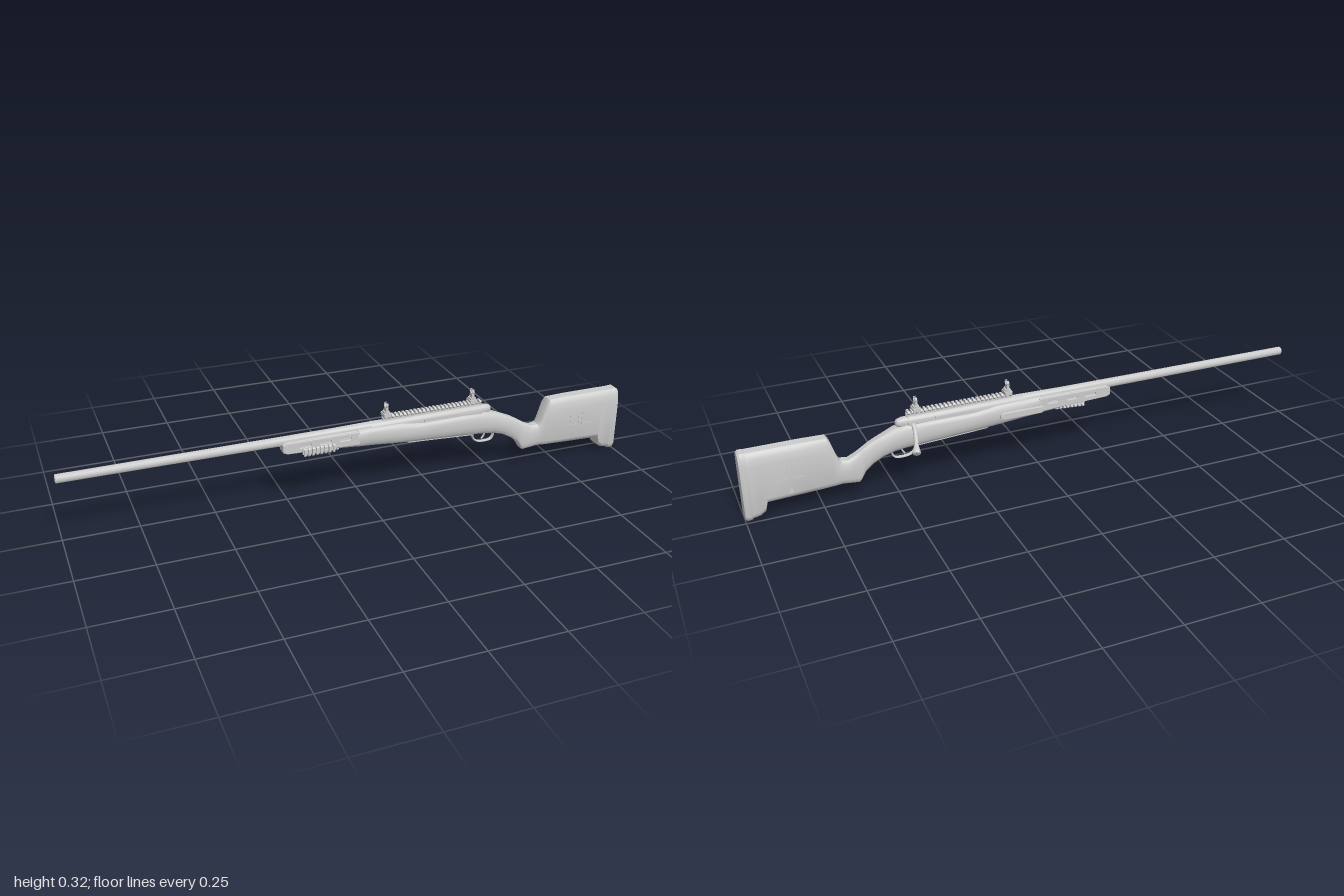
import * as THREE from 'three';
import { toCreasedNormals } from 'three/addons/utils/BufferGeometryUtils.js';

const mat = new THREE.MeshStandardMaterial({ color: 0xcccccc });
const V = (x, y, z) => new THREE.Vector3(x, y, z);

function add(parent, name, geo, x = 0, y = 0, z = 0) {
  const m = new THREE.Mesh(geo, mat);
  m.name = name;
  m.position.set(x, y, z);
  parent.add(m);
  return m;
}
const box = (w, h, d) => new THREE.BoxGeometry(w, h, d);

// Lathe whose axis runs along +x; profile pairs are [x, radius]
function turned(profile, seg = 28) {
  const g = new THREE.LatheGeometry(profile.map(([x, r]) => new THREE.Vector2(r, x)), seg);
  return toCreasedNormals(g.rotateZ(-Math.PI / 2), 0.6);
}

// Loft of chamfered sections along x: [x, bottom, top, halfWidth, topChamfer, bottomChamfer]
function loft(stations) {
  const pos = [], idx = [], n = 16;
  for (const [x, b, t, w, ct, cb] of stations) {
    const side = [[t, 0.5], [t - ct * 0.12, 0.7], [t - ct * 0.45, 0.88], [t - ct, 1],
      [b + cb, 1], [b + cb * 0.45, 0.88], [b + cb * 0.12, 0.7], [b, 0.5]];
    side.forEach(([y, k]) => pos.push(x, y, k * w));
    [...side].reverse().forEach(([y, k]) => pos.push(x, y, -k * w));
  }
  const last = (stations.length - 1) * n;
  for (let i = 0; i < last; i += n)
    for (let j = 0; j < n; j++) {
      const k = (j + 1) % n;
      idx.push(i + j, i + k, i + n + j, i + k, i + n + k, i + n + j);
    }
  for (let j = 1; j < n - 1; j++) idx.push(0, j + 1, j, last, last + j, last + j + 1);
  const g = new THREE.BufferGeometry();
  g.setAttribute('position', new THREE.Float32BufferAttribute(pos, 3));
  g.setIndex(idx);
  return toCreasedNormals(g, 0.55);
}

const polygon = (pts) => new THREE.Shape(pts.map(([x, y]) => new THREE.Vector2(x, y)));

function capsulePath(cx, cy, len, r, Type = THREE.Path) {
  const p = new Type(), h = len / 2 - r;
  p.absarc(cx + h, cy, r, -Math.PI / 2, Math.PI / 2, false);
  p.absarc(cx - h, cy, r, Math.PI / 2, Math.PI * 1.5, false);
  p.closePath();
  return p;
}

// Accessory rail along x, top facing +y, with evenly spaced cross teeth
function rail(name, length, teeth, width, height) {
  const g = new THREE.Group();
  g.name = name;
  add(g, 'railBase', box(length, height * 0.55, width * 0.55), 0, height * 0.275, 0);
  const w = width / 2, pitch = length / teeth;
  const tooth = new THREE.ExtrudeGeometry(polygon([[-w * 0.55, height * 0.35], [w * 0.55, height * 0.35],
    [w, height * 0.62], [w, height * 0.75], [w * 0.7, height], [-w * 0.7, height], [-w, height * 0.75], [-w, height * 0.62]]),
  { depth: pitch * 0.55, bevelEnabled: false }).rotateY(Math.PI / 2);
  for (let i = 0; i < teeth; i++) add(g, 'railTooth', tooth, -length / 2 + (i + 0.22) * pitch, 0, 0);
  return g;
}

// Flip-up sight standing on the top rail
function sight(name, rear) {
  const g = new THREE.Group();
  g.name = name;
  add(g, 'sightClamp', box(0.026, 0.011, 0.034), 0, 0.003, 0);
  add(g, 'sightBase', box(0.02, 0.008, 0.024), 0, 0.011, 0);
  add(g, 'sightPost', box(0.009, 0.02, 0.018), 0, 0.022, 0);
  const ring = new THREE.TorusGeometry(0.006, 0.0016, 8, 20).rotateY(Math.PI / 2);
  if (rear) add(g, 'sightAperture', ring, 0, 0.037, 0);
  else add(g, 'sightPin', new THREE.CylinderGeometry(0.001, 0.0015, 0.012, 8), 0, 0.036, 0);
  for (const s of [-1, 1]) {
    const ear = new THREE.ExtrudeGeometry(polygon([[0.005, 0.03], [0.009, 0.03], [0.0115, 0.037], [0.0085, 0.045],
      [0.006, 0.045], [0.0085, 0.038]].map(([x, y]) => [x * s, y])), { depth: 0.008, bevelEnabled: false });
    add(g, 'sightEar', ear.translate(0, 0, -0.004).rotateY(Math.PI / 2));
    const knob = new THREE.CylinderGeometry(0.005, 0.005, 0.004, 14).rotateX(Math.PI / 2);
    add(g, 'sightKnob', knob, 0, 0.013, s * 0.013);
  }
  return g;
}

export function createModel() {
  const root = new THREE.Group();
  root.name = 'rifle';
  const g = new THREE.Group();
  g.name = 'body';
  g.position.z = 0.033;
  root.add(g);

  // Barrel and action
  add(g, 'barrel', turned([[0.03, 0], [0.03, 0.007], [0.002, 0.007], [0, 0.009], [0, 0.0125], [0.003, 0.0145],
    [0.6, 0.0155], [0.9, 0.0165], [1.0, 0.018], [1.06, 0.019], [1.06, 0]]), -1, 0.238, 0);
  add(g, 'receiver', turned([[0.04, 0], [0.04, 0.021], [0.045, 0.0225], [0.445, 0.0225], [0.45, 0.021], [0.45, 0]]), 0, 0.234, 0);
  add(g, 'boltShroud', turned([[0.44, 0], [0.44, 0.0185], [0.47, 0.0175], [0.485, 0.013], [0.49, 0.007], [0.49, 0]]), 0, 0.236, 0);
  for (const s of [-1, 1]) add(g, 'receiverSide', box(0.13, 0.012, 0.006), 0.295, 0.238, s * 0.0215);

  // Forend core with slotted side walls
  add(g, 'forendCore', loft([[-0.274, 0.203, 0.236, 0.02, 0.012, 0.012], [-0.265, 0.198, 0.24, 0.025, 0.012, 0.015],
    [-0.02, 0.18, 0.242, 0.026, 0.012, 0.025], [0.0, 0.18, 0.242, 0.026, 0.012, 0.025]]));
  const wall = polygon([[-0.275, 0.21], [-0.262, 0.204], [-0.01, 0.195], [-0.01, 0.238], [-0.262, 0.238], [-0.275, 0.233]]);
  wall.holes = [-0.2, -0.13, -0.06].map((x) => capsulePath(x, 0.222, 0.046, 0.007));
  const wallGeo = new THREE.ExtrudeGeometry(wall, { depth: 0.006, bevelThickness: 0.002, bevelSize: 0.002, bevelSegments: 2, curveSegments: 10 });
  for (const s of [-1, 1]) add(g, 'forendWall', wallGeo, 0, 0, s * 0.0265 - 0.003);

  // Stock from magazine well through grip to butt
  add(g, 'stock', loft([[-0.015, 0.18, 0.243, 0.032, 0.012, 0.03], [0.04, 0.177, 0.244, 0.033, 0.014, 0.03],
    [0.14, 0.168, 0.243, 0.033, 0.02, 0.03], [0.22, 0.163, 0.233, 0.033, 0.015, 0.03],
    [0.38, 0.154, 0.233, 0.033, 0.015, 0.03], [0.46, 0.148, 0.23, 0.031, 0.025, 0.03],
    [0.5, 0.142, 0.22, 0.028, 0.03, 0.03], [0.54, 0.13, 0.203, 0.024, 0.03, 0.03],
    [0.575, 0.11, 0.188, 0.021, 0.03, 0.03], [0.6, 0.088, 0.173, 0.02, 0.03, 0.03],
    [0.617, 0.06, 0.162, 0.021, 0.035, 0.02], [0.625, 0.054, 0.157, 0.021, 0.035, 0.02],
    [0.655, 0.058, 0.142, 0.024, 0.03, 0.02], [0.68, 0.062, 0.145, 0.027, 0.03, 0.02],
    [0.69, 0.062, 0.16, 0.029, 0.035, 0.02], [0.71, 0.061, 0.222, 0.031, 0.045, 0.02],
    [0.72, 0.061, 0.236, 0.032, 0.05, 0.02], [0.8, 0.058, 0.238, 0.033, 0.045, 0.02],
    [0.925, 0.054, 0.238, 0.033, 0.045, 0.02], [0.933, 0.024, 0.238, 0.033, 0.045, 0.02],
    [0.95, 0.011, 0.238, 0.033, 0.045, 0.02], [0.976, 0.006, 0.238, 0.033, 0.045, 0.02]]));
  add(g, 'recoilPad', loft([[0.972, 0.008, 0.236, 0.0325, 0.044, 0.02], [0.98, 0.002, 0.239, 0.0335, 0.044, 0.02],
    [0.994, 0, 0.239, 0.0335, 0.044, 0.02], [1, 0.005, 0.234, 0.031, 0.042, 0.02]]));

  // Raised outlines on the butt, mirrored to both sides
  const frame = polygon([[0.803, 0.127], [0.841, 0.127], [0.841, 0.173], [0.803, 0.173]]);
  frame.holes.push(polygon([[0.807, 0.131], [0.837, 0.131], [0.837, 0.169], [0.807, 0.169]]));
  const bracket = polygon([[0.852, 0.127], [0.894, 0.127], [0.894, 0.131], [0.863, 0.131], [0.858, 0.138], [0.858, 0.162],
    [0.863, 0.169], [0.894, 0.169], [0.894, 0.173], [0.852, 0.173]]);
  const outlines = new THREE.ExtrudeGeometry([frame, bracket], { depth: 0.003, bevelEnabled: false });
  for (const s of [-1, 1]) add(g, 'buttOutline', outlines, 0, 0, s * 0.0325 - 0.0015);
  add(g, 'slingStud', new THREE.CylinderGeometry(0.008, 0.008, 0.005, 16).rotateX(Math.PI / 2), 0.85, 0.085, -0.034);

  // Plate on the bolt side of the stock
  add(g, 'sidePlate', new THREE.ExtrudeGeometry(capsulePath(0.058, 0.205, 0.155, 0.01, THREE.Shape),
    { depth: 0.006, bevelThickness: 0.002, bevelSize: 0.002, bevelSegments: 2 }), 0, 0, -0.04);

  // Rails
  const topRail = rail('topRail', 0.37, 26, 0.026, 0.02);
  topRail.position.set(0.268, 0.254, 0);
  const sideRail = rail('sideRail', 0.115, 8, 0.03, 0.014);
  sideRail.position.set(-0.155, 0.203, 0.031);
  sideRail.rotation.x = Math.PI / 2;
  const underRail = rail('underRail', 0.115, 8, 0.03, 0.015);
  underRail.position.set(-0.133, 0.19, 0);
  underRail.rotation.set(Math.PI, 0, -0.06);
  g.add(topRail, sideRail, underRail);

  // Sights
  const front = sight('frontSight', false), rear = sight('rearSight', true);
  front.position.set(0.097, 0.272, 0);
  rear.position.set(0.418, 0.272, 0);
  g.add(front, rear);

  // Bolt handle and knob
  const arm = new THREE.CatmullRomCurve3([V(0.435, 0.234, -0.012), V(0.435, 0.218, -0.034), V(0.438, 0.203, -0.05), V(0.443, 0.188, -0.072)]);
  add(g, 'boltArm', new THREE.TubeGeometry(arm, 16, 0.0075, 12));
  const knob = add(g, 'boltKnob', toCreasedNormals(new THREE.LatheGeometry([[0, 0], [0.0065, 0], [0.0075, 0.012], [0.0115, 0.026],
    [0.0135, 0.035], [0.0125, 0.041], [0.009, 0.043], [0, 0.043]].map(([r, y]) => new THREE.Vector2(r, y)), 20), 0.6), 0.443, 0.189, -0.07);
  knob.quaternion.setFromUnitVectors(V(0, 1, 0), V(0.25, -0.58, -0.8).normalize());

  // Trigger and guard
  const bow = new THREE.CatmullRomCurve3([[0.425, 0.156], [0.43, 0.128], [0.445, 0.115], [0.475, 0.111], [0.498, 0.115], [0.507, 0.13], [0.505, 0.15]]
    .map(([x, y]) => V(x, y, 0)));
  add(g, 'triggerGuard', new THREE.TubeGeometry(bow, 36, 0.0035, 8).scale(1, 1, 2.2));
  const blade = new THREE.CatmullRomCurve3([V(0.468, 0.155, 0), V(0.473, 0.14, 0), V(0.47, 0.13, 0), V(0.463, 0.12, 0)]);
  add(g, 'trigger', new THREE.TubeGeometry(blade, 12, 0.003, 8).scale(1, 1, 1.5));
  add(g, 'floorPlate', box(0.25, 0.008, 0.03), 0.3, 0.158, 0).rotation.z = -0.058;

  return root;
}
